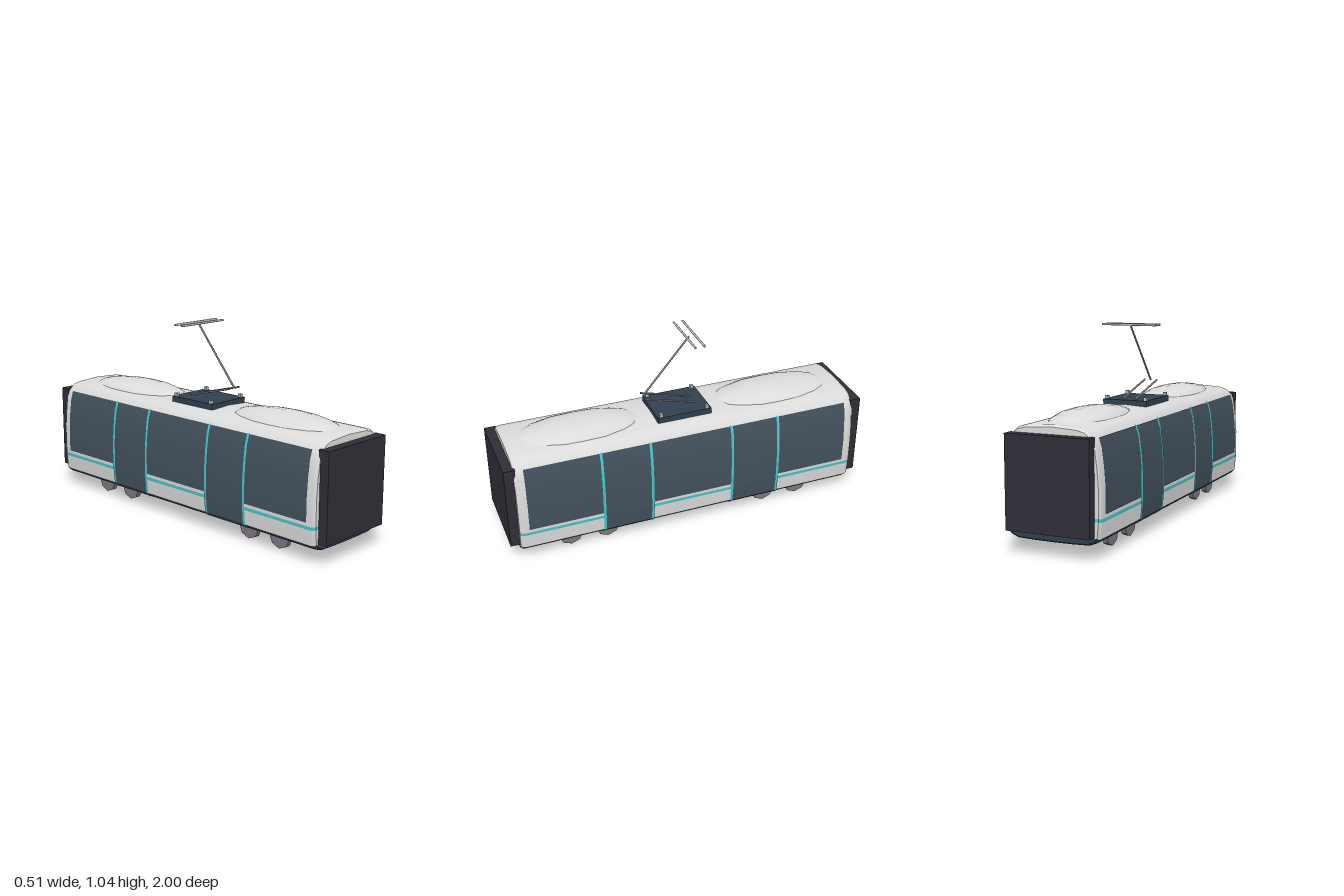
import * as THREE from 'three';
import { toCreasedNormals } from 'three/addons/utils/BufferGeometryUtils.js';

const mat = (name, color, side = THREE.FrontSide) => {
  const m = new THREE.MeshStandardMaterial({ color, side });
  m.name = name;
  return m;
};

// Right half of the body cross-section, bottom to top: [x, y]
const PROFILE = [
  [0, 0.063], [0.1, 0.064], [0.188, 0.067], [0.226, 0.083], [0.242, 0.1], [0.249, 0.18], [0.25, 0.197],
  [0.25, 0.34], [0.243, 0.435], [0.232, 0.52], [0.217, 0.568], [0.182, 0.6], [0.138, 0.612], [0, 0.62],
];
const SKIRT_END = 4, STRIPE_START = 5;

function widthAt(y) {
  for (let i = 1; i < PROFILE.length; i++) {
    const [x0, y0] = PROFILE[i - 1], [x1, y1] = PROFILE[i];
    if (y <= y1) return x0 + (x1 - x0) * (y - y0) / (y1 - y0);
  }
  return 0;
}

// Collects quads (corners counter-clockwise from outside)
function quadGeometry(quads) {
  const pos = [];
  for (const [a, b, c, d] of quads) pos.push(...a, ...b, ...c, ...a, ...c, ...d);
  const g = new THREE.BufferGeometry();
  g.setAttribute('position', new THREE.Float32BufferAttribute(pos, 3));
  return g;
}

// Body shell: the profile lofted along z with softened ends, coloured in bands
function bodyGeometry() {
  const rings = [[-0.95, 0.965], [-0.942, 0.988], [-0.925, 1], [0.925, 1], [0.942, 0.988], [0.95, 0.965]];
  const point = (i, [z, s], side) => [side * PROFILE[i][0] * s, 0.34 + (PROFILE[i][1] - 0.34) * s, z];
  const bands = [[], [], []];
  for (let i = 0; i < PROFILE.length - 1; i++) {
    const quads = bands[i < SKIRT_END ? 0 : i === STRIPE_START ? 1 : 2];
    for (let r = 0; r < rings.length - 1; r++) {
      for (const side of [1, -1]) {
        const q = [point(i, rings[r], side), point(i + 1, rings[r], side),
          point(i + 1, rings[r + 1], side), point(i, rings[r + 1], side)];
        quads.push(side > 0 ? q : q.reverse());
      }
    }
    const f = rings[5], b = rings[0];
    quads.push([point(i, f, -1), point(i, f, 1), point(i + 1, f, 1), point(i + 1, f, -1)]);
    quads.push([point(i, b, 1), point(i, b, -1), point(i + 1, b, -1), point(i + 1, b, 1)]);
  }
  const g = quadGeometry(bands.flat());
  let start = 0;
  bands.forEach((q, k) => { g.addGroup(start, q.length * 6, k); start += q.length * 6; });
  return toCreasedNormals(g, 0.65);
}

// Thin panel that hugs the side of the body
function panelGeometry(side, y0, y1, z0, z1, offset) {
  const ys = [y0, ...PROFILE.map(p => p[1]).filter(y => y > y0 && y < y1), y1];
  const quads = [];
  for (let i = 0; i < ys.length - 1; i++) {
    const xa = side * (widthAt(ys[i]) + offset), xb = side * (widthAt(ys[i + 1]) + offset);
    const q = [[xa, ys[i], z0], [xb, ys[i + 1], z0], [xb, ys[i + 1], z1], [xa, ys[i], z1]];
    quads.push(side > 0 ? q : q.reverse());
  }
  return toCreasedNormals(quadGeometry(quads), 0.65);
}

// Low rounded roof pod lofted from arched sections: [z, half width, top height]
function podGeometry() {
  const sections = [[-0.32, 0.03, 0.617], [-0.28, 0.09, 0.632], [-0.22, 0.118, 0.645], [-0.11, 0.145, 0.657],
    [0, 0.147, 0.661], [0.11, 0.145, 0.657], [0.22, 0.118, 0.645], [0.28, 0.09, 0.632], [0.32, 0.03, 0.617]];
  const arch = [[1, 0], [0.88, 0.4], [0.68, 0.7], [0.36, 0.91], [0, 1], [-0.36, 0.91], [-0.68, 0.7], [-0.88, 0.4], [-1, 0]];
  const pos = [], index = [], n = arch.length;
  for (const [z, w, h] of sections) for (const [u, v] of arch) pos.push(u * w, 0.605 + (h - 0.605) * v, z);
  for (let s = 0; s < sections.length - 1; s++) {
    for (let k = 0; k < n - 1; k++) {
      const a = s * n + k, b = a + n;
      index.push(a, a + 1, b, a + 1, b + 1, b);
    }
  }
  const g = new THREE.BufferGeometry();
  g.setAttribute('position', new THREE.Float32BufferAttribute(pos, 3));
  g.setIndex(index);
  g.computeVertexNormals();
  return g;
}

// Round rod between two points
function rodGeometry(a, b, radius) {
  return new THREE.TubeGeometry(new THREE.LineCurve3(new THREE.Vector3(...a), new THREE.Vector3(...b)), 1, radius, 8);
}

export function createModel() {
  const group = new THREE.Group();
  const white = mat('bodyWhite', 0xdcdcdc);
  const navy = mat('skirtNavy', 0x30404f);
  const teal = mat('tealTrim', 0x44c6cc, THREE.DoubleSide);
  const glass = mat('darkGlass', 0x42505c, THREE.DoubleSide);
  const black = mat('endBlack', 0x2f2e37);
  const wheelGrey = mat('wheelGrey', 0x7d7580);
  const metal = mat('lightMetal', 0xb9b9bd, THREE.DoubleSide);
  const armGrey = mat('armGrey', 0x8a8890, THREE.DoubleSide);

  const add = (name, geometry, material, x = 0, y = 0, z = 0) => {
    const m = new THREE.Mesh(geometry, material);
    m.name = name;
    m.position.set(x, y, z);
    group.add(m);
    return m;
  };

  add('body', bodyGeometry(), [navy, teal, white]);

  // Dark gangway blocks at both ends
  for (const s of [1, -1]) add('endBlock', new THREE.BoxGeometry(0.442, 0.463, 0.06), black, 0, 0.3435, s * 0.97);

  // Windows, doors and door trim on both sides
  for (const side of [1, -1]) {
    for (const [z0, z1] of [[-0.9, -0.497], [-0.225, 0.225], [0.497, 0.9]])
      add('window', panelGeometry(side, 0.215, 0.568, z0, z1, 0.003), glass);
    for (const s of [1, -1]) {
      add('door', panelGeometry(side, 0.07, 0.568, s * 0.362 - 0.134, s * 0.362 + 0.134, 0.0035), glass);
      for (const z of [0.228, 0.496])
        add('doorTrim', panelGeometry(side, 0.07, 0.572, s * z - 0.007, s * z + 0.007, 0.006), teal);
    }
  }

  // Eight-sided wheels
  const wheel = toCreasedNormals(new THREE.CylinderGeometry(0.065, 0.065, 0.028, 8).rotateZ(Math.PI / 2), 0.3);
  for (const x of [0.159, -0.159])
    for (const z of [0.665, 0.46, -0.455, -0.66]) add('wheel', wheel, wheelGrey, x, 0.065, z);

  // Roof pods
  for (const s of [1, -1]) add('roofPod', podGeometry(), white, 0, 0, s * 0.55);

  // Current collector base with its insulators
  add('collectorBase', new THREE.BoxGeometry(0.25, 0.035, 0.302), navy, 0, 0.626, -0.002);
  for (const x of [0.112, -0.112])
    for (const z of [0.128, -0.13]) add('insulator', new THREE.BoxGeometry(0.018, 0.022, 0.018), metal, x, 0.65, z);

  // Current collector arms and contact bars
  for (const x of [0.036, -0.036]) add('lowerArm', rodGeometry([x, 0.643, -0.1], [x, 0.719, 0.19], 0.005), armGrey);
  add('upperArm', rodGeometry([0, 0.719, 0.19], [0, 1.025, -0.07], 0.005), armGrey);
  for (const z of [-0.045, -0.095])
    add('contactBar', new THREE.CylinderGeometry(0.006, 0.006, 0.312, 8).rotateZ(Math.PI / 2), metal, 0, 1.037, z);

  return group;
}
